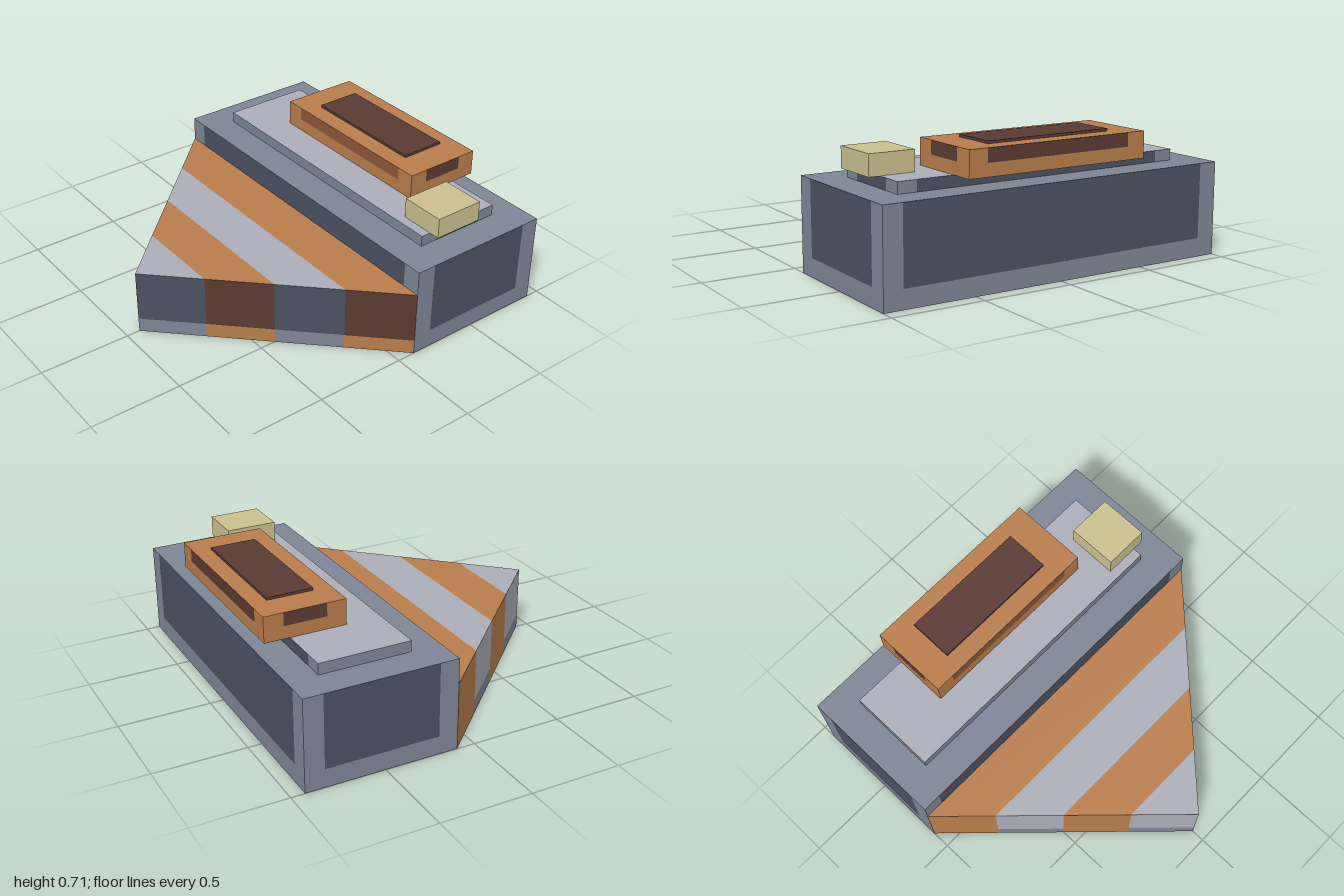
import * as THREE from 'three';

const mat = (name, color) => {
  const m = new THREE.MeshStandardMaterial({ color, side: THREE.DoubleSide });
  m.name = name;
  return m;
};

export function createModel() {
  const orange = mat('orange', 0xb87d4b);
  const lightGrey = mat('light grey', 0xabaeb9);
  const slate = mat('slate', 0x7d8595);
  const navy = mat('navy', 0x4a5161);
  const brown = mat('dark brown', 0x5a3a34);
  const midBrown = mat('mid brown', 0x8b5738);
  const sand = mat('sand', 0xcabf8e);

  const model = new THREE.Group();
  model.name = 'steppedBlock';

  const group = (name) => {
    const g = new THREE.Group();
    g.name = name;
    model.add(g);
    return g;
  };
  const add = (parent, name, geometry, material) => {
    const m = new THREE.Mesh(geometry, material);
    m.name = name;
    parent.add(m);
    return m;
  };

  // Upright wall from a to b ([x, z]), outside on the right of the way a to b:
  // a panel reaching the top edge, framed at both ends and below
  function wall(parent, name, a, b, y0, y1, margin, sill, frame, panel) {
    const dx = b[0] - a[0], dz = b[1] - a[1], w = Math.hypot(dx, dz);
    const g = new THREE.Group();
    g.name = name;
    g.position.set(a[0], 0, a[1]);
    g.rotation.y = Math.atan2(-dz, dx);
    parent.add(g);
    const rect = (n, l, r, lo, hi, m) => {
      if (r - l < 1e-4 || hi - lo < 1e-4) return;
      const geo = new THREE.PlaneGeometry(r - l, hi - lo);
      geo.translate((l + r) / 2, (lo + hi) / 2, 0);
      add(g, n, geo, m);
    };
    rect('panel', margin, w - margin, y0 + sill, y1, panel);
    rect('sill', 0, w, y0, y0 + sill, frame);
    rect('leftFrame', 0, margin, y0 + sill, y1, frame);
    rect('rightFrame', w - margin, w, y0 + sill, y1, frame);
  }

  // Level face with corners [x, z], facing up
  function level(parent, name, points, y, material) {
    const s = new THREE.Shape(points.map(([x, z]) => new THREE.Vector2(x, -z)));
    const geo = new THREE.ShapeGeometry(s);
    geo.rotateX(-Math.PI / 2);
    geo.translate(0, y, 0);
    return add(parent, name, geo, material);
  }

  // Four panelled walls and a top; panels are front, right (+x), back, left (-x)
  function block(name, x, z0, z1, y0, y1, margin, sill, frame, topMat, panels) {
    const g = group(name);
    const c = [[-x, z1], [x, z1], [x, z0], [-x, z0]];
    ['frontWall', 'plusXWall', 'backWall', 'minusXWall'].forEach((n, i) =>
      wall(g, n, c[i], c[(i + 1) % 4], y0, y1, margin, sill, frame, panels[i]));
    level(g, 'top', c, y1, topMat);
    return { g, c };
  }

  // Main block, open below
  block('mainBlock', 1, -0.927, -0.1, 0, 0.5, 0.105, 0.1, slate, slate,
    [navy, navy, navy, navy]);

  // Low slab on the roof
  block('roofSlab', 0.83, -0.765, -0.267, 0.5, 0.56, 0.105, 0, slate, lightGrey,
    [slate, navy, navy, slate]);

  // Orange upper block, overhanging the slab at the back
  const upper = block('upperBlock', 0.526, -0.902, -0.46, 0.56, 0.7, 0.105, 0.068,
    orange, orange, [midBrown, brown, brown, brown]);
  level(upper.g, 'underside', upper.c, 0.5605, orange);

  // Flat hatch and the small box beside the upper block
  add(group('hatch'), 'hatchPlate', new THREE.BoxGeometry(0.724, 0.014, 0.25), brown)
    .position.set(0, 0.707, -0.685);
  add(group('sideBox'), 'box', new THREE.BoxGeometry(0.25, 0.112, 0.28), sand)
    .position.set(0.764, 0.615, -0.461);

  // Pointed front of four striped slices, each hollow and open below
  const H = 0.365, SILL = 0.08, Z0 = -0.1, LEN = 1.027, N = 4;
  for (let i = 0; i < N; i++) {
    const even = i % 2 === 0;
    const topMat = even ? orange : lightGrey;
    const low = even ? orange : slate;
    const dark = even ? brown : navy;
    const za = Z0 + (LEN * i) / N, zb = Z0 + (LEN * (i + 1)) / N;
    const xa = 1 - i / N, xb = 1 - (i + 1) / N;
    const g = group('frontSlice' + (i + 1));
    const corners = [[-xa, za], [-xb, zb], [xa, za]];
    if (xb > 0) corners.splice(2, 0, [xb, zb]);
    level(g, 'top', corners, H, topMat);
    wall(g, 'minusXWall', [-xa, za], [-xb, zb], 0, H, 0, SILL, low, topMat);
    wall(g, 'plusXWall', [xb, zb], [xa, za], 0, H, 0, SILL, low, dark);
    // Partition towards the next slice
    if (xb > 0) wall(g, 'partition', [-xb, zb], [xb, zb], 0, H - 0.002, 0, SILL, low, dark);
  }

  return model;
}
